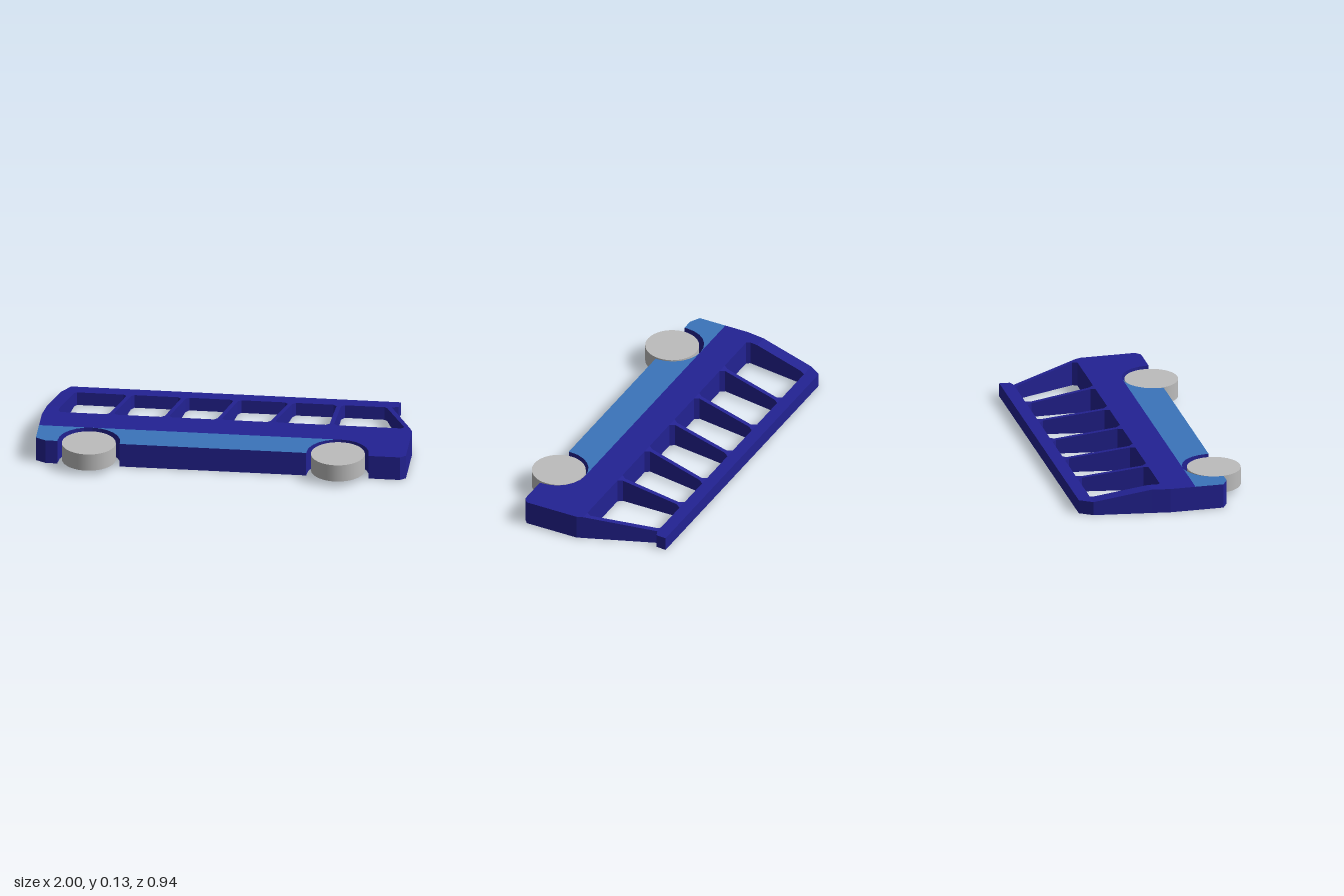
import * as THREE from 'three';

const HIGH = 0.134, LOW = 0.075;            // top heights of the waist and the roof rail
const SILL = -0.025, KINK = -0.09, RAIL = -0.4, HEM = 0.335, BELT = 0.15;

const paint = (name, color) => {
  const m = new THREE.MeshStandardMaterial({ color, side: THREE.DoubleSide });
  m.name = name;
  return m;
};

// Top height: flat, then sloping down from z = bend to the roof rail
const topAt = (z, bend) =>
  HIGH + (LOW - HIGH) * THREE.MathUtils.clamp((z - bend) / (RAIL - bend), 0, 1);

// Top skin over an outline of [x, z] points
function skin(name, pts, material, bend = KINK) {
  const g = new THREE.ShapeGeometry(new THREE.Shape(pts.map(([x, z]) => new THREE.Vector2(x, -z))));
  g.rotateX(-Math.PI / 2);
  const p = g.attributes.position;
  for (let i = 0; i < p.count; i++) p.setY(i, topAt(p.getZ(i), bend));
  const flat = g.toNonIndexed();
  flat.computeVertexNormals();
  const mesh = new THREE.Mesh(flat, material);
  mesh.name = name;
  return mesh;
}

// Upright walls around an outline, left out where it joins another part
function walls(name, pts, material, joints = [], bend = KINK) {
  const outline = pts.map(([x, z]) => new THREE.Vector2(x, -z));
  if (THREE.ShapeUtils.isClockWise(outline)) outline.reverse();
  const pos = [];
  outline.forEach((a, i) => {
    const b = outline[(i + 1) % outline.length];
    if (a.y === b.y && joints.includes(-a.y)) return;
    const a0 = [a.x, 0, -a.y], b0 = [b.x, 0, -b.y];
    const a1 = [a.x, topAt(-a.y, bend), -a.y], b1 = [b.x, topAt(-b.y, bend), -b.y];
    pos.push(...a0, ...b0, ...b1, ...a0, ...b1, ...a1);
  });
  const g = new THREE.BufferGeometry();
  g.setAttribute('position', new THREE.Float32BufferAttribute(pos, 3));
  g.computeVertexNormals();
  const mesh = new THREE.Mesh(g, material);
  mesh.name = name;
  return mesh;
}

// Wheel arch points, running from angle a to angle b (0 = front, PI = rear)
function arch(cx, a, b) {
  const r = 0.168, cz = BELT + r, n = Math.round(Math.abs(b - a) / (Math.PI / 12));
  const pts = [];
  for (let i = 0; i <= n; i++) {
    const t = a + (b - a) * i / n;
    pts.push([cx + r * Math.cos(t), cz - r * Math.sin(t)]);
  }
  if (a === 0) pts.unshift([cx + r, HEM]);
  if (b === Math.PI) pts.push([cx - r, HEM]);
  return pts;
}

export function createModel() {
  const navy = paint('navy', 0x232293);
  const blue = paint('blue', 0x3a74ba);
  const grey = paint('grey', 0xbcbcbc);
  const model = new THREE.Group();
  model.name = 'busRelief';

  const REAR = -0.712, FRONT = 0.632, HALF = Math.PI / 2;
  const noseEdge = [[0.97, HEM], [1, 0.31], [1, 0.01], [0.987, SILL]];
  const tailEdge = [[-0.905, SILL], [-0.918, -0.045], [-0.911, KINK], [-0.985, KINK], [-1, 0.01]];
  const tailHem = [[-1, 0.305], [-0.945, HEM]];

  // Lower body: walls, navy waist with nose, and blue skirt
  model.add(walls('bodyWalls', [
    ...noseEdge, ...tailEdge, ...tailHem,
    ...arch(REAR, 0, Math.PI).reverse(), ...arch(FRONT, 0, Math.PI).reverse(),
  ], navy, [KINK]));
  model.add(skin('waist', [...noseEdge, ...tailEdge, [-1, BELT], ...arch(FRONT, 0, HALF).reverse()], navy));
  model.add(skin('skirt', [...arch(REAR, 0, HALF), ...arch(FRONT, HALF, Math.PI)], blue));
  model.add(skin('rearSkirt', [[-1, BELT], ...tailHem, ...arch(REAR, HALF, Math.PI).reverse()], blue));

  // Roof rail
  const roof = [[-0.895, -0.47], [0.885, -0.47], [0.88, -0.412], [0.845, RAIL], [-0.942, RAIL]];
  model.add(walls('roofWalls', roof, navy), skin('roofRail', roof, navy));

  const addPillar = (name, pts, bend) => {
    const pillar = new THREE.Group();
    pillar.name = name;
    pillar.add(skin(name + 'Top', pts, navy, bend), walls(name + 'Walls', pts, navy, [SILL, KINK, RAIL], bend));
    model.add(pillar);
  };

  // Window pillars, flared at both ends
  const w = 0.012, flare = 0.018;
  [[-0.628, -0.575], [-0.33, -0.28], [-0.045, 0.002], [0.243, 0.297], [0.56, 0.56]].forEach(([xs, xr], i) => {
    const edge = (s) => [
      [xs + s * (w + flare), SILL], [xs + s * w, SILL - 0.024],
      [xr + s * w, RAIL + 0.024], [xr + s * (w + flare), RAIL],
    ];
    addPillar('windowPillar' + (i + 1), [...edge(1), ...edge(-1).reverse()], SILL);
  });

  // Rear and windscreen pillars
  addPillar('rearPillar', [[-0.985, KINK], [-0.911, KINK], [-0.87, -0.378], [-0.857, RAIL], [-0.942, RAIL]], KINK);
  addPillar('windscreenPillar',
    [[0.987, SILL], [0.937, SILL], [0.951, -0.05], [0.821, -0.385], [0.806, RAIL], [0.845, RAIL]], SILL);

  // Wheels: drums closed on top, open underneath
  for (const [name, x, z] of [['rearWheel', -0.712, 0.322], ['frontWheel', 0.632, 0.308]]) {
    const wheel = new THREE.Group();
    wheel.name = name;
    const tread = new THREE.Mesh(new THREE.CylinderGeometry(0.145, 0.145, 0.096, 40, 1, true), grey);
    tread.name = name + 'Tread';
    const face = new THREE.Mesh(new THREE.CircleGeometry(0.145, 40).rotateX(-HALF), grey);
    face.name = name + 'Face';
    face.position.y = 0.048;
    wheel.add(tread, face);
    wheel.position.set(x, 0.077, z);
    model.add(wheel);
  }
  return model;
}
